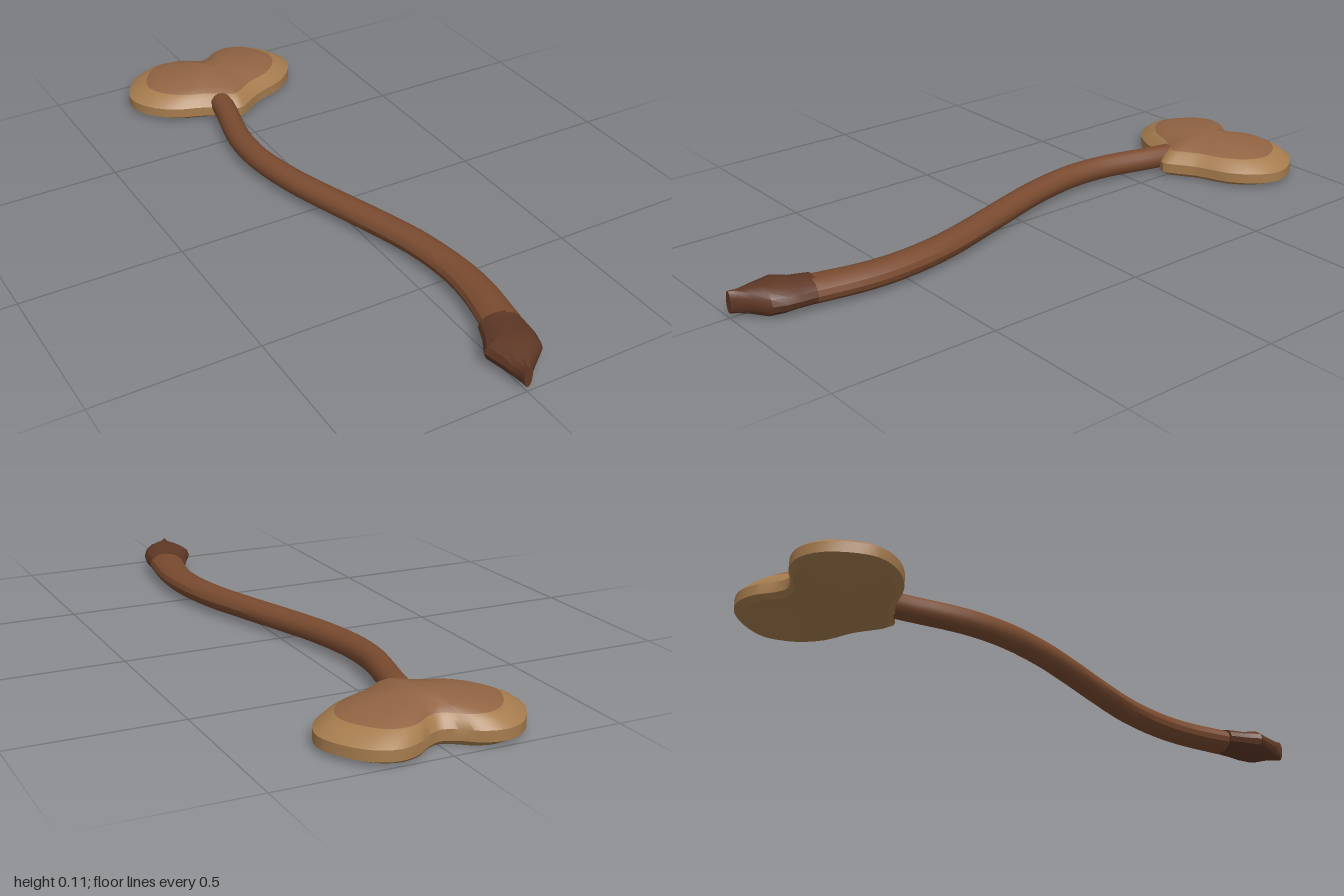
import * as THREE from 'three';
import { toCreasedNormals } from 'three/addons/utils/BufferGeometryUtils.js';

// Skin a list of closed rings (arrays of Vector3), with a fan cap at each end
function loft(rings, capStart, capEnd) {
  const n = rings[0].length, pos = [], idx = [];
  rings.forEach(r => r.forEach(p => pos.push(p.x, p.y, p.z)));
  for (let i = 0; i < rings.length - 1; i++) {
    for (let j = 0; j < n; j++) {
      const a = i * n + j, b = i * n + (j + 1) % n;
      idx.push(a, b, b + n, a, b + n, a + n);
    }
  }
  const cap = (row, flip) => {
    const c = new THREE.Vector3();
    rings[row].forEach(p => c.addScaledVector(p, 1 / n));
    const k = pos.length / 3;
    pos.push(c.x, c.y, c.z);
    for (let j = 0; j < n; j++) {
      const a = row * n + j, b = row * n + (j + 1) % n;
      if (flip) idx.push(k, b, a); else idx.push(k, a, b);
    }
  };
  if (capStart) cap(0, true);
  if (capEnd) cap(rings.length - 1, false);
  const g = new THREE.BufferGeometry();
  g.setAttribute('position', new THREE.Float32BufferAttribute(pos, 3));
  g.setIndex(idx);
  return toCreasedNormals(g, 0.5);
}

// Oval ring across a path lying in the xz plane
function oval(x, z, tx, tz, rx, ry, sides = 14) {
  const len = Math.hypot(tx, tz);
  return Array.from({ length: sides }, (_, j) => {
    const a = j / sides * Math.PI * 2, s = Math.cos(a) * rx / len;
    return new THREE.Vector3(x + tz * s, 0.05 + Math.sin(a) * ry, z - tx * s);
  });
}

export function createModel() {
  const group = new THREE.Group();
  const add = (name, geometry, color) => {
    const mesh = new THREE.Mesh(geometry, new THREE.MeshStandardMaterial({ color }));
    mesh.name = name;
    group.add(mesh);
  };

  // Heart outline: one half from tip to notch, then mirrored
  const half = [[0, -0.6], [0.045, -0.625], [0.1, -0.66], [0.2, -0.7], [0.27, -0.765], [0.295, -0.84],
    [0.265, -0.92], [0.21, -0.98], [0.15, -1], [0.09, -0.985], [0.04, -0.95], [0, -0.935]];
  const outline = [...half, ...half.slice(1, -1).reverse().map(([x, z]) => [-x, z])];
  const heart = new THREE.CatmullRomCurve3(outline.map(([x, z]) => new THREE.Vector3(x, 0, z)), true)
    .getPoints(66).slice(0, 66);
  const layer = ([s, y]) => heart.map(p => new THREE.Vector3(p.x * s, y, -0.8 + (p.z + 0.8) * s));

  // Heart head: light rim with underside, darker domed face
  add('heartRim', loft([[0.89, 0.003], [1, 0.017], [1, 0.048], [0.89, 0.07], [0.79, 0.082]].map(layer), true, false), 0xa67c4e);
  add('heartFace', loft([[0.79, 0.082], [0.66, 0.095], [0.26, 0.11], [0.02, 0.115]].map(layer), false, true), 0x916443);

  // S-curved stem
  const path = new THREE.CatmullRomCurve3([[-0.04, -0.68], [-0.055, -0.6], [-0.096, -0.42], [-0.1, -0.28],
    [-0.072, -0.12], [-0.03, 0.02], [0.03, 0.2], [0.077, 0.36], [0.1, 0.52], [0.097, 0.64], [0.07, 0.79]]
    .map(([x, z]) => new THREE.Vector3(x, 0, z)));
  const stem = [];
  for (let i = 0; i <= 36; i++) {
    const t = i / 36, p = path.getPoint(t), d = path.getTangent(t);
    const end = i === 0 ? 0.75 : 1;
    stem.push(oval(p.x, p.z, d.x, d.z, (0.037 + 0.012 * t * t + 0.008 * t ** 6) * end, 0.037 * end));
  }
  add('stem', loft(stem, true, true), 0x7a4b30);

  // Dark knobbly grip, pinched to a narrow flat tip: x, z, tilt, half width, half height
  const grip = [[0.066, 0.78, -0.2, 0.061, 0.038], [0.052, 0.835, -0.2, 0.07, 0.039],
    [0.036, 0.875, -0.12, 0.08, 0.046], [0.036, 0.925, 0, 0.066, 0.045],
    [0.018, 0.957, 0, 0.042, 0.037], [0.005, 0.985, 0, 0.019, 0.034], [0, 1, 0, 0.013, 0.033]];
  add('grip', loft(grip.map(([x, z, tilt, rx, ry]) => oval(x, z, tilt, 1, rx, ry)), true, true), 0x5f3826);

  return group;
}
